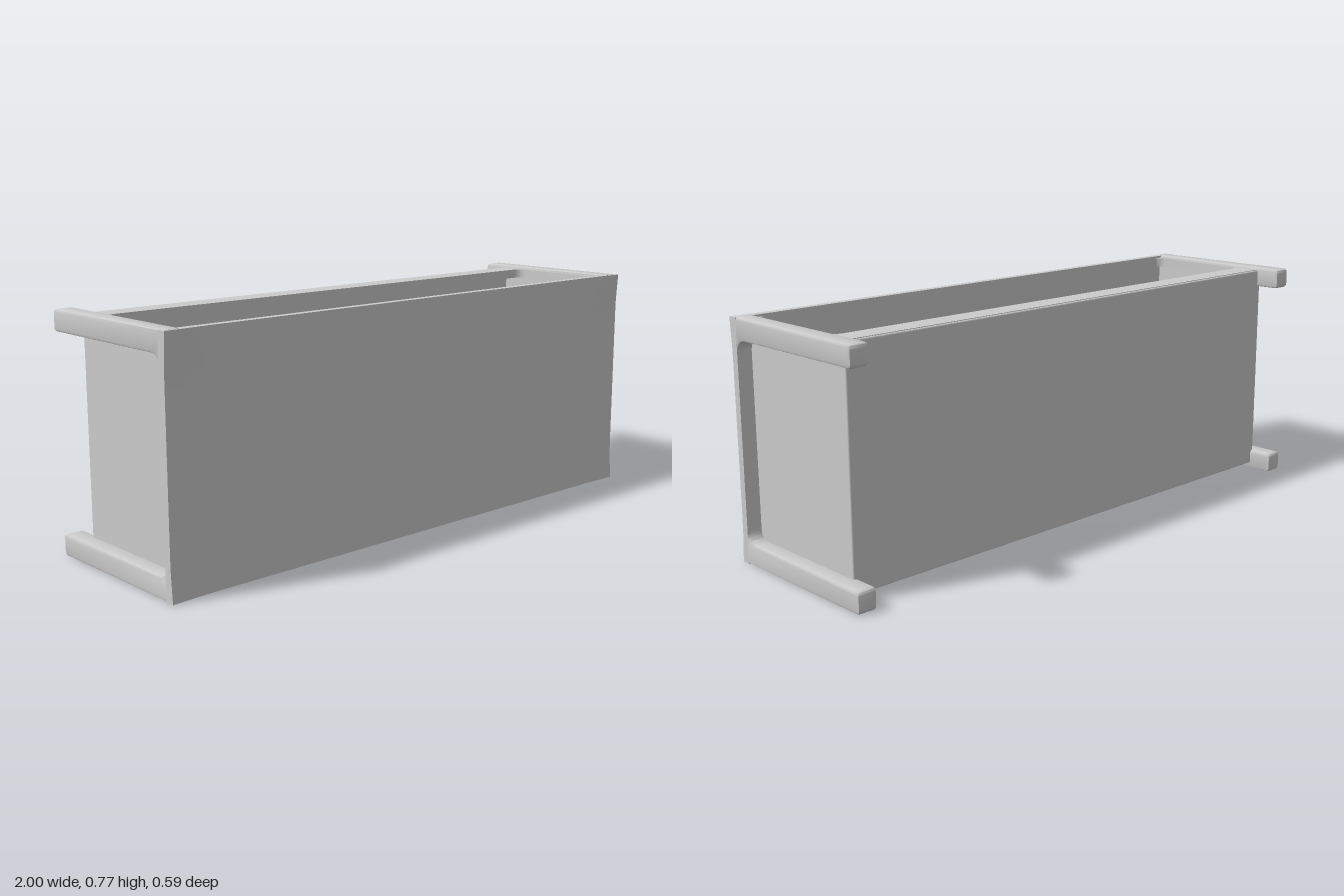
import * as THREE from 'three';
import { RoundedBoxGeometry } from 'three/addons/geometries/RoundedBoxGeometry.js';
import { toCreasedNormals } from 'three/addons/utils/BufferGeometryUtils.js';

const material = new THREE.MeshStandardMaterial({ color: 0xcccccc });

// Rounded rectangle outline; works for both shapes and holes
function roundRect(target, x0, y0, x1, y1, r) {
  target.moveTo(x0 + r, y0);
  target.lineTo(x1 - r, y0);
  target.absarc(x1 - r, y0 + r, r, -Math.PI / 2, 0);
  target.lineTo(x1, y1 - r);
  target.absarc(x1 - r, y1 - r, r, 0, Math.PI / 2);
  target.lineTo(x0 + r, y1);
  target.absarc(x0 + r, y1 - r, r, Math.PI / 2, Math.PI);
  target.lineTo(x0, y0 + r);
  target.absarc(x0 + r, y0 + r, r, Math.PI, Math.PI * 1.5);
  return target;
}

const rect = (x0, z0, x1, z1) => roundRect(new THREE.Shape(), x0, z0, x1, z1, 0.004);
const slot = (x0, z0, x1, z1) =>
  roundRect(new THREE.Path(), x0, z0, x1, z1, (z1 - z0) * 0.49);
const disc = (x, z, r) => new THREE.Path().absarc(x, z, r, 0, Math.PI * 2);

export function createModel() {
  const model = new THREE.Group();

  function add(name, geometry) {
    const mesh = new THREE.Mesh(geometry, material);
    mesh.name = name;
    model.add(mesh);
    return mesh;
  }

  function box(name, x0, x1, y0, y1, z0, z1) {
    const mesh = add(name, new RoundedBoxGeometry(x1 - x0, y1 - y0, z1 - z0, 2, 0.005));
    mesh.position.set((x0 + x1) / 2, (y0 + y1) / 2, (z0 + z1) / 2);
  }

  // Profile in (z, y) extruded along x, with a small bevel
  function alongX(name, shape, x0, x1) {
    const bevel = 0.008;
    const g = new THREE.ExtrudeGeometry(shape, {
      depth: x1 - x0 - 2 * bevel, bevelThickness: bevel, bevelSize: bevel,
      bevelOffset: -bevel, bevelSegments: 2, curveSegments: 8,
    });
    g.rotateY(-Math.PI / 2).translate(x1 - bevel, 0, 0);
    add(name, toCreasedNormals(g, 0.6));
  }

  // Plan in (x, z) extruded between two heights
  function slab(name, shape, y0, y1, holes) {
    shape.holes.push(...holes);
    const g = new THREE.ExtrudeGeometry(shape, {
      depth: y1 - y0, bevelEnabled: false, curveSegments: 12,
    });
    g.rotateX(Math.PI / 2).translate(0, y1, 0);
    add(name, toCreasedNormals(g, 0.6));
  }

  // Front panel, flaring slightly forward at its four corners
  const front = new THREE.BoxGeometry(2, 0.774, 0.025, 40, 16, 1);
  const p = front.attributes.position;
  for (let i = 0; i < p.count; i++) {
    if (p.getZ(i) < 0) continue;
    const u = Math.max(0, (Math.abs(p.getX(i)) - 0.87) / 0.13);
    const v = Math.max(0, (Math.abs(p.getY(i)) - 0.28) / 0.107);
    p.setZ(i, p.getZ(i) + 0.007 * Math.min(u, v));
  }
  front.translate(0, 0.3875, 0.2775);
  add('frontPanel', toCreasedNormals(front, 0.6));

  // C-shaped end frames: two rails joined by the front upright
  const frame = new THREE.Shape();
  frame.moveTo(-0.28, 0);
  frame.lineTo(0.287, 0);
  frame.lineTo(0.287, 0.775);
  frame.lineTo(-0.28, 0.775);
  frame.quadraticCurveTo(-0.295, 0.775, -0.295, 0.76);
  frame.lineTo(-0.295, 0.72);
  frame.quadraticCurveTo(-0.295, 0.706, -0.28, 0.706);
  frame.lineTo(0.225, 0.706);
  frame.quadraticCurveTo(0.265, 0.704, 0.265, 0.665);
  frame.lineTo(0.265, 0.11);
  frame.quadraticCurveTo(0.265, 0.071, 0.225, 0.07);
  frame.lineTo(-0.28, 0.07);
  frame.quadraticCurveTo(-0.295, 0.07, -0.295, 0.055);
  frame.lineTo(-0.295, 0.015);
  frame.quadraticCurveTo(-0.295, 0, -0.28, 0);
  alongX('leftEndFrame', frame, 0.935, 1);
  alongX('rightEndFrame', frame, -1, -0.935);

  // Back wall, and end walls between the rails
  box('backWall', -0.95, 0.95, 0.02, 0.765, -0.207, -0.187);
  box('leftEndWall', 0.93, 0.95, 0.02, 0.765, -0.207, 0.275);
  box('rightEndWall', -0.95, -0.93, 0.02, 0.765, -0.207, 0.275);

  // Thin top rim with a rounded opening, overhanging the back wall
  slab('topRim', rect(-0.94, -0.2, 0.94, 0.28), 0.735, 0.767,
    [roundRect(new THREE.Path(), -0.928, -0.12, 0.928, 0.265, 0.035)]);

  // Rear lining sloping forward towards the floor
  const lining = new THREE.Shape();
  lining.moveTo(-0.2, 0.17);
  lining.lineTo(-0.115, 0.17);
  lining.lineTo(-0.12, 0.42);
  lining.quadraticCurveTo(-0.13, 0.5, -0.18, 0.62);
  lining.lineTo(-0.2, 0.65);
  alongX('rearLining', lining, -0.94, 0.94);

  // Tray floor with drainage slots
  slab('trayFloor', rect(-0.935, -0.195, 0.935, 0.27), 0.18, 0.21, [
    slot(-0.75, -0.11, -0.25, -0.045),
    slot(-0.715, 0.04, -0.25, 0.105),
    slot(0.325, 0.03, 0.845, 0.095),
  ]);

  // Lower plate with cut-outs, seen in the underside bays
  slab('lowerPlate', rect(-0.935, -0.195, 0.935, 0.27), 0.15, 0.18, [
    disc(0.61, 0.165, 0.06),
    slot(0.22, 0.14, 0.52, 0.195),
    disc(-0.08, 0.05, 0.1),
    disc(-0.06, 0.205, 0.05),
    slot(-0.78, 0.075, -0.25, 0.12),
    disc(-0.56, 0.2, 0.025),
  ]);

  // Cross ribs dividing the underside into three bays
  for (const x of [0.19, -0.22]) {
    box('underRib', x - 0.02, x + 0.02, 0.02, 0.16, -0.195, 0.27);
  }
  // Thickened ends of the underside
  for (const s of [1, -1]) {
    box('underEndBlock', s * 0.9 - 0.035, s * 0.9 + 0.035, 0.02, 0.16, -0.195, 0.27);
  }

  return model;
}
